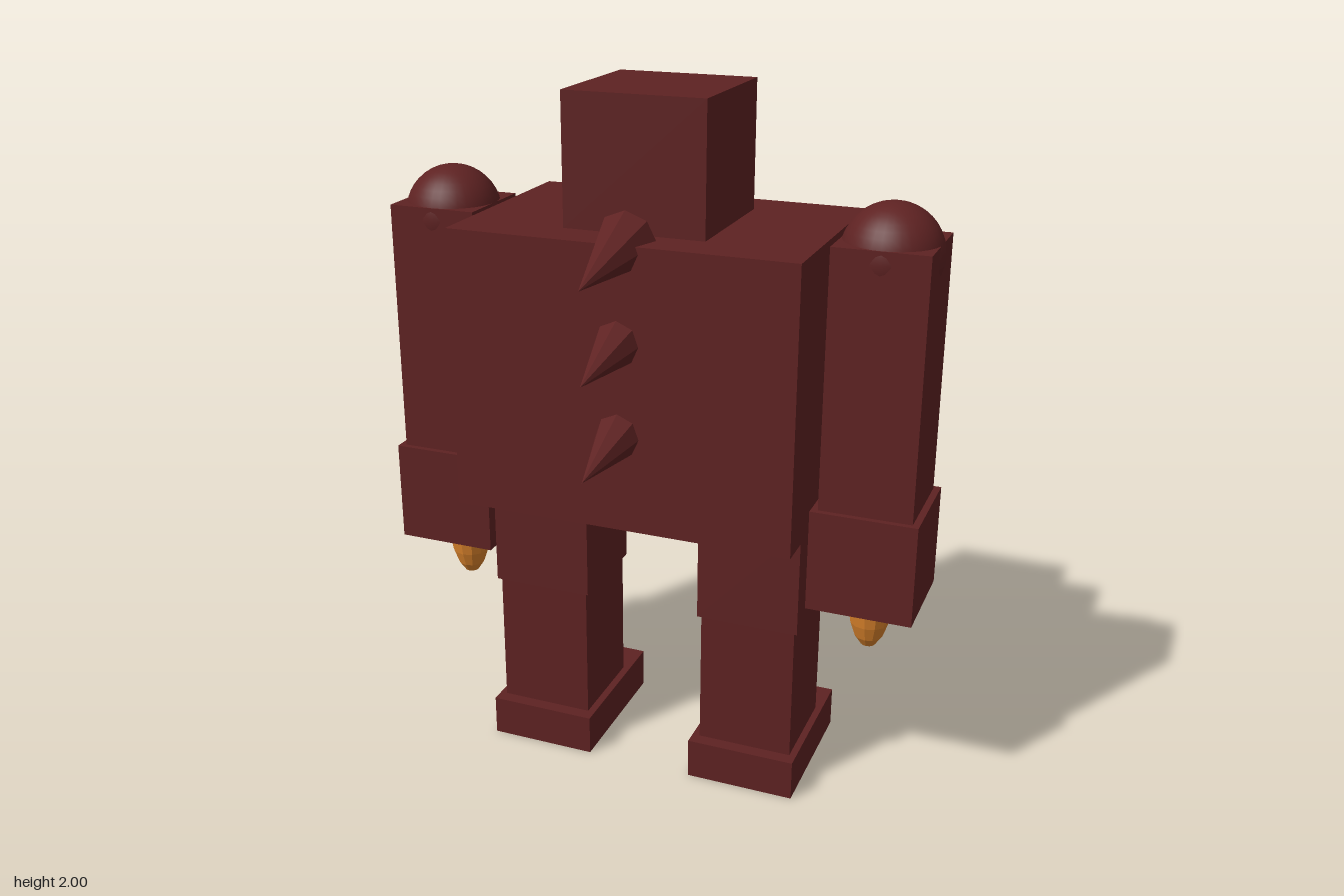
import * as THREE from 'three';

export function createModel() {
  const root = new THREE.Group();
  root.name = 'blockyMonster';

  const mat = (name, color, flat = false) => {
    const m = new THREE.MeshStandardMaterial({ color, flatShading: flat });
    m.name = name;
    return m;
  };
  const hide = mat('darkRedHide', 0x5e2222);
  const amber = mat('amberClaw', 0xdc842c, true);
  const gold = mat('paleGold', 0xd8aa52);

  const add = (name, geo, material, x, y, z, parent = root) => {
    const mesh = new THREE.Mesh(geo, material);
    mesh.name = name;
    mesh.position.set(x, y, z);
    parent.add(mesh);
    return mesh;
  };
  // Box given by its centre x, width, and y and z ranges
  const block = (name, x, w, y0, y1, z0, z1, material = hide, parent = root) =>
    add(name, new THREE.BoxGeometry(w, y1 - y0, z1 - z0), material,
      x, (y0 + y1) / 2, (z0 + z1) / 2, parent);

  // Long faceted ellipsoid used for every claw
  const clawGeo = new THREE.SphereGeometry(0.068, 12, 10).scale(1, 0.196 / 0.068, 1);

  // Trunk and head
  block('torso', 0, 0.98, 0.845, 1.64, -0.395, 0.245);
  block('head', 0, 0.4, 1.64, 2, -0.27, 0.127);

  // Strip and claw on the eye side of the torso
  block('chestStrip', 0, 0.08, 1.0, 1.44, -0.412, -0.39, gold);
  add('chestClaw', clawGeo, amber, 0, 0.845, -0.412);

  // Row of downward tilted spikes
  [1.634, 1.388, 1.13].forEach((y, i) => {
    const geo = new THREE.ConeGeometry(0.083, 0.314, 8).toNonIndexed();
    geo.computeVertexNormals();
    geo.translate(0, 0.157, 0).rotateX(THREE.MathUtils.degToRad(100));
    add('spike' + (i + 1), geo, hide, 0, y, 0.166);
  });

  // Paired parts
  for (const [side, s] of [['left', 1], ['right', -1]]) {
    add(side + 'Eye', new THREE.SphereGeometry(0.06, 24, 16), gold, s * 0.1, 1.845, -0.285);

    const arm = new THREE.Group();
    arm.name = side + 'Arm';
    root.add(arm);
    block('upperArm', s * 0.639, 0.26, 0.91, 1.64, -0.206, 0.058, hide, arm);
    add('shoulder', new THREE.SphereGeometry(0.137, 32, 20), hide, s * 0.64, 1.603, -0.076, arm);
    block('forearm', s * 0.639, 0.298, 0.615, 0.91, -0.222, 0.075, hide, arm);
    add('handClaw', clawGeo, amber, s * 0.64, 0.645, -0.074, arm);

    const leg = new THREE.Group();
    leg.name = side + 'Leg';
    root.add(leg);
    block('thigh', s * 0.321, 0.298, 0.525, 0.845, -0.222, 0.075, hide, leg);
    block('shin', s * 0.321, 0.278, 0.12, 0.525, -0.213, 0.066, hide, leg);
    block('foot', s * 0.32, 0.32, 0, 0.12, -0.332, 0.105, hide, leg);
    add('thighClaw', clawGeo, amber, s * 0.3, 0.805, -0.275, leg);
  }

  return root;
}
